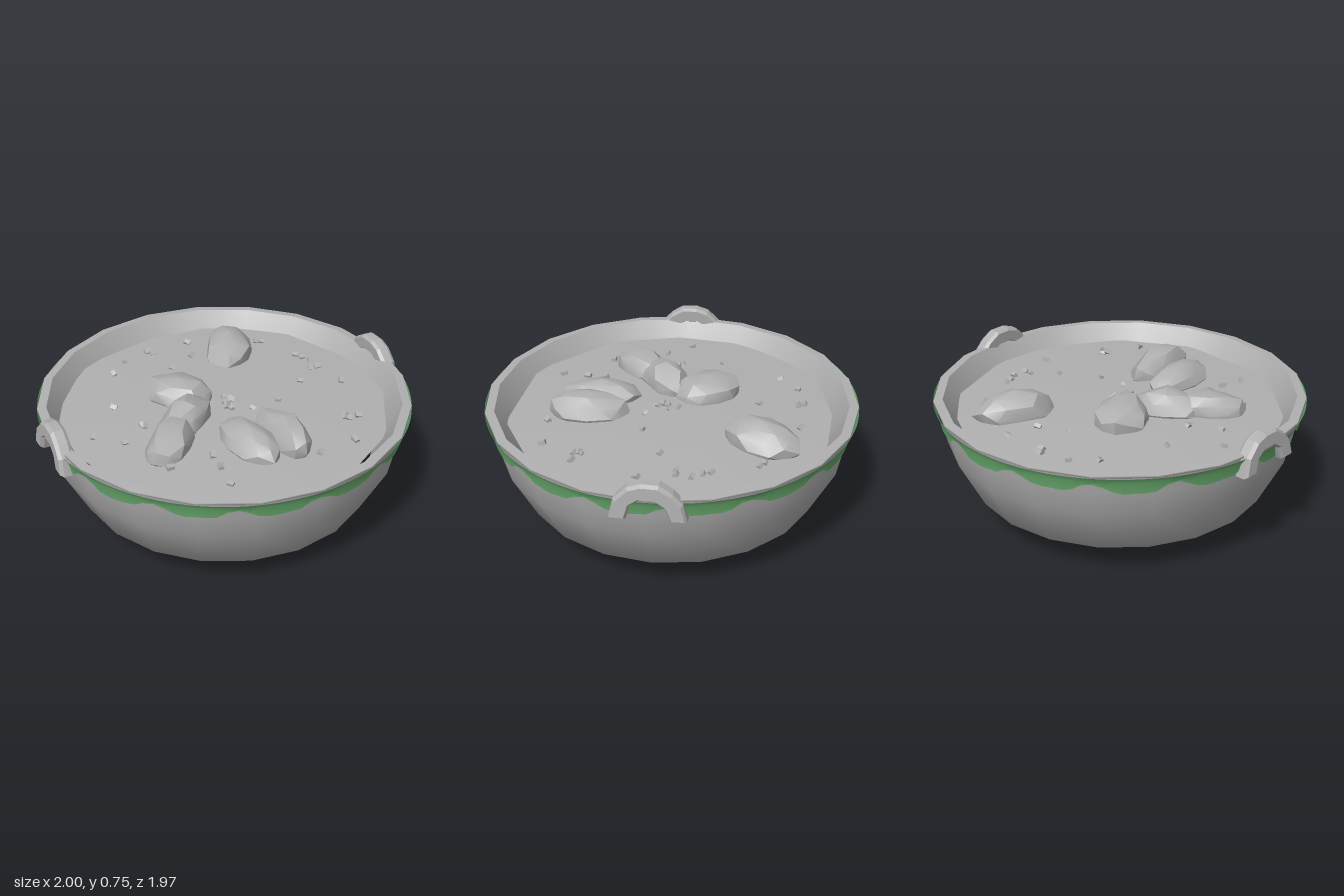
import * as THREE from 'three';
import { toCreasedNormals, mergeVertices } from 'three/addons/utils/BufferGeometryUtils.js';

const stone = new THREE.MeshStandardMaterial({ color: 0xb0b0b0 });
stone.name = 'grey';
const glaze = new THREE.MeshStandardMaterial({ color: 0x67a86b, side: THREE.DoubleSide });
glaze.name = 'green glaze';

function add(parent, name, geometry, material = stone) {
  const mesh = new THREE.Mesh(geometry, material);
  mesh.name = name;
  parent.add(mesh);
  return mesh;
}

const lathe = (points) => new THREE.LatheGeometry(points.map(([r, y]) => new THREE.Vector2(r, y)), 20);

// Build an indexed surface from positions and triangles
function surface(positions, index) {
  const g = new THREE.BufferGeometry();
  g.setAttribute('position', new THREE.Float32BufferAttribute(positions, 3));
  g.setIndex(index);
  g.computeVertexNormals();
  return g;
}

// Small repeatable pseudo-random generator
function seeded(seed) {
  return () => {
    seed = (seed * 16807) % 2147483647;
    return seed / 2147483647;
  };
}

// Soup surface rises gently to the middle
const soupHeight = (x, z) => 0.61 - 0.035 * (x * x + z * z);

function soupGeometry() {
  const edge = [[-0.5, -0.75], [-0.05, -0.85], [0.37, -0.82], [0.7, -0.53], [0.87, -0.1], [0.85, 0.25],
    [0.61, 0.63], [0.23, 0.85], [-0.37, 0.81], [-0.77, 0.43], [-0.87, 0.06], [-0.83, -0.33]];
  const n = edge.length;
  const positions = [0, soupHeight(0, 0), 0];
  const index = [];
  for (const s of [0.55, 1.0]) {
    for (const [x, z] of edge) positions.push(x * s, soupHeight(x * s, z * s), z * s);
  }
  for (let i = 0; i < n; i++) {
    const a = 1 + i, b = 1 + (i + 1) % n;
    index.push(0, b, a, a, b, b + n, a, b + n, a + n);
  }
  return surface(positions, index);
}

// Glaze band under the rim, with a lower edge that drips unevenly
function glazeGeometry() {
  const cols = 120;
  const rand = seeded(41);
  const drip = [0.615, 0.6, 0.572, 0.566, 0.566, 0.57, 0.575, 0.605];
  const positions = [];
  const index = [];
  for (let i = 0; i < cols; i++) {
    const a = (i / cols) * Math.PI * 2;
    const low = drip[i % drip.length] + rand() * 0.008;
    const rows = [[0.957 + (low - 0.565) * 0.15, low], [0.966, 0.63], [0.984, 0.66]];
    for (const [r, y] of rows) positions.push(r * Math.sin(a), y, r * Math.cos(a));
    const p = i * 3, q = ((i + 1) % cols) * 3;
    for (let k = 0; k < 2; k++) index.push(p + k, q + k, q + k + 1, p + k, q + k + 1, p + k + 1);
  }
  return surface(positions, index);
}

// Chunky arched handle on the +x side
function handleGeometry() {
  const outline = [[-0.17, 0.575], [-0.15, 0.66], [-0.09, 0.72], [-0.03, 0.74], [0.05, 0.738], [0.11, 0.7],
    [0.155, 0.65], [0.175, 0.575], [0.115, 0.575], [0.09, 0.64], [0.04, 0.675], [-0.04, 0.68], [-0.09, 0.645], [-0.11, 0.575]];
  const shape = new THREE.Shape(outline.map(([x, y]) => new THREE.Vector2(x, y)));
  const g = new THREE.ExtrudeGeometry(shape, {
    depth: 0.045, bevelEnabled: true, bevelThickness: 0.018, bevelSize: 0.012, bevelSegments: 1,
  });
  g.rotateY(Math.PI / 2);
  g.translate(0.936, 0, 0);
  // Lean the top of the arch inward
  const p = g.attributes.position;
  for (let i = 0; i < p.count; i++) p.setX(i, p.getX(i) - Math.max(0, p.getY(i) - 0.57) * 0.06);
  g.computeVertexNormals();
  return g;
}

// Lumpy faceted chunk: a jittered icosahedron
function chunkGeometry(seed, length, width, height) {
  const rand = seeded(seed);
  let g = new THREE.IcosahedronGeometry(1, 1);
  g.deleteAttribute('uv');
  g.deleteAttribute('normal');
  g = mergeVertices(g);
  const p = g.attributes.position;
  for (let i = 0; i < p.count; i++) {
    const s = 0.87 + rand() * 0.2;
    p.setXYZ(i, p.getX(i) * s * width, p.getY(i) * s * height, p.getZ(i) * s * length);
  }
  return toCreasedNormals(g, 0.5);
}

export function createModel() {
  const model = new THREE.Group();
  model.name = 'soupBowl';

  // Bowl shell
  add(model, 'bowlOutside', lathe([[0, 0], [0.535, 0.003], [0.795, 0.17], [0.925, 0.43], [0.952, 0.57], [0.972, 0.655]]));
  add(model, 'rimEdge', lathe([[0.972, 0.655], [0.985, 0.664], [0.982, 0.672]]));
  add(model, 'rimTop', lathe([[0.982, 0.672], [0.935, 0.676]]));
  add(model, 'bowlInside', lathe([[0.935, 0.676], [0.88, 0.59], [0.82, 0.48]]));
  add(model, 'glazeBand', glazeGeometry(), glaze);

  // Handles
  const handle = handleGeometry();
  add(model, 'leftHandle', handle).position.z = -0.01;
  add(model, 'rightHandle', handle).rotation.y = Math.PI;

  add(model, 'soup', soupGeometry());

  // Chunks: x, z, turn, half length, half width, centre y, half height
  const chunks = [
    [0.29, -0.49, 2.65, 0.225, 0.135, 0.61, 0.115],
    [-0.18, -0.17, 0.55, 0.205, 0.155, 0.615, 0.1],
    [-0.27, 0.07, -0.95, 0.2, 0.115, 0.615, 0.115],
    [-0.42, 0.22, -0.85, 0.205, 0.12, 0.61, 0.1],
    [-0.07, 0.39, 0.1, 0.215, 0.125, 0.61, 0.1],
    [0.11, 0.43, 0.08, 0.225, 0.11, 0.615, 0.12],
  ];
  chunks.forEach(([x, z, turn, length, width, y, height], i) => {
    const chunk = add(model, 'chunk', chunkGeometry(101 + i * 977, length, width, height));
    chunk.position.set(x, y, z);
    chunk.rotation.y = turn;
  });

  // Crumbs floating on the soup
  const crumbs = [
    [-0.29, -0.66], [-0.13, -0.7], [-0.11, -0.67], [0.12, -0.69], [-0.4, -0.56], [-0.09, -0.46], [0.07, -0.53],
    [0.48, -0.52], [0.51, -0.5], [-0.54, -0.23], [-0.74, -0.03], [-0.62, 0.1], [-0.48, 0], [-0.47, 0.02],
    [0.6, -0.27], [0.62, -0.23], [0.65, -0.18], [0.64, -0.1], [0.6, -0.1], [0.47, 0], [0.68, 0.09], [0.26, 0.12],
    [0.1, 0.13], [0, 0.02], [-0.01, 0.05], [0.01, 0.07], [0, 0.08], [0.02, -0.04], [0.04, 0], [-0.51, 0.4],
    [-0.28, 0.41], [-0.29, 0.51], [-0.31, 0.65], [0.21, 0.63], [0.43, 0.61], [0.51, 0.39], [0.5, 0.41],
    [0.57, 0.43], [0.51, 0.43],
  ];
  const rand = seeded(7);
  const crumbGeometry = new THREE.BoxGeometry(0.026, 0.022, 0.036);
  for (const [x, z] of crumbs) {
    const crumb = add(model, 'crumb', crumbGeometry);
    crumb.position.set(x, soupHeight(x, z) + 0.006, z);
    crumb.rotation.set(rand() * 0.6, rand() * 3, rand() * 0.6);
    crumb.scale.setScalar(0.75 + rand() * 0.35);
  }

  return model;
}
